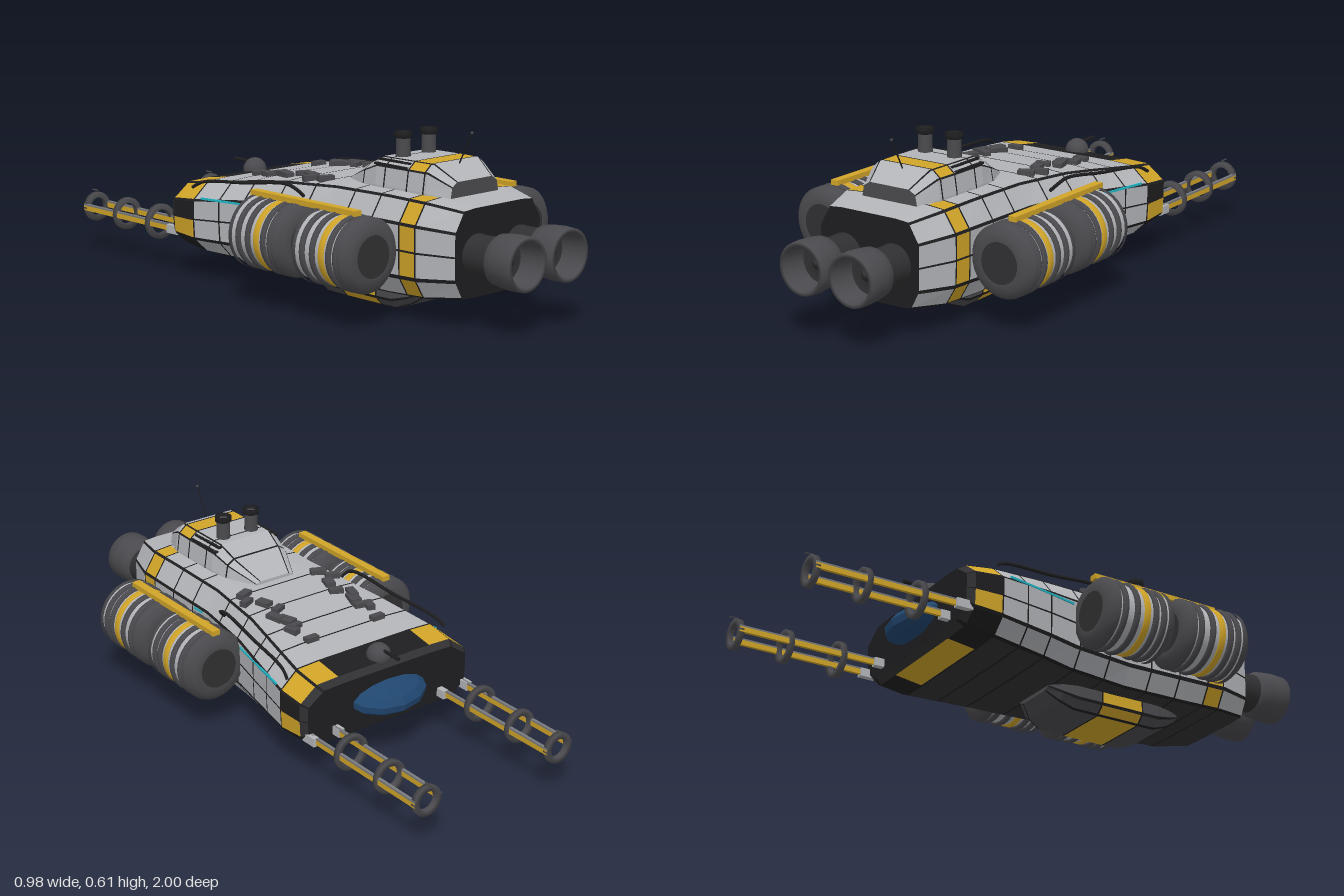
import * as THREE from 'three';

const mat = (name, color, extra = {}) => Object.assign(new THREE.MeshStandardMaterial({ color, ...extra }), { name });

export function createModel() {
  const light = mat('hullGrey', 0xb2b4b8), yellow = mat('hazardYellow', 0xd0a428), dark = mat('darkGrey', 0x4a4a4e),
    black = mat('black', 0x1e1e20), char = mat('charcoal', 0x303032), blue = mat('canopyBlue', 0x20466f),
    cyan = mat('cyanGlow', 0x20b4c4), mid = mat('midGrey', 0x77797d);
  const root = new THREE.Group();
  root.name = 'industrialShip';

  const add = (name, geo, m, x = 0, y = 0, z = 0, parent = root) => {
    const mesh = new THREE.Mesh(geo, m);
    mesh.name = name;
    mesh.position.set(x, y, z);
    parent.add(mesh);
    return mesh;
  };
  const box = (name, w, h, d, m, x, y, z, parent) => add(name, new THREE.BoxGeometry(w, h, d), m, x, y, z, parent);
  // lathe profile [radius, z] turned to lie along z
  const latheZ = (pts, n = 28) => new THREE.LatheGeometry(pts.map(p => new THREE.Vector2(...p)), n).rotateX(Math.PI / 2);
  const tube = (name, pts, r, m) => add(name, new THREE.TubeGeometry(
    new THREE.CatmullRomCurve3(pts.map(p => new THREE.Vector3(...p))), 24, r, 6), m);

  // Skin between mirrored sections; pick(j, zMid) chooses the material of each panel
  function loft(name, half, stations, pick, capStart, capEnd) {
    const n = half.length, count = 2 * n - 2;
    const rings = stations.map(([z, w, t, b]) => Array.from({ length: count }, (_, k) => {
      const [fx, fy] = half[k < n ? k : count - k];
      return [(k < n ? 1 : -1) * fx * w, b + fy * (t - b), z];
    }));
    const buckets = new Map();
    const tri = (m, ...p) => {
      if (!buckets.has(m)) buckets.set(m, []);
      buckets.get(m).push(...p.flat());
    };
    for (let i = 0; i < rings.length - 1; i++) for (let k = 0; k < count; k++) {
      const k2 = (k + 1) % count, A = rings[i], B = rings[i + 1];
      const m = pick(k < n - 1 ? k : count - 1 - k, (stations[i][0] + stations[i + 1][0]) / 2, stations[i][4]);
      tri(m, A[k], B[k], B[k2]);
      tri(m, A[k], B[k2], A[k2]);
    }
    const cap = (ring, s, m, flip) => {
      const c = [0, (s[2] + s[3]) / 2, s[0]];
      ring.forEach((p, k) => {
        const q = ring[(k + 1) % count];
        flip ? tri(m, c, q, p) : tri(m, c, p, q);
      });
    };
    cap(rings[0], stations[0], capStart, false);
    cap(rings.at(-1), stations.at(-1), capEnd, true);
    const geo = new THREE.BufferGeometry(), all = [], mats = [];
    for (const [m, v] of buckets) {
      geo.addGroup(all.length / 3, v.length / 3, mats.length);
      for (const x of v) all.push(x);
      mats.push(m);
    }
    geo.setAttribute('position', new THREE.Float32BufferAttribute(all, 3));
    geo.computeVertexNormals();
    return add(name, geo, mats);
  }
  const sample = (table, z) => {
    let i = 0;
    while (i < table.length - 2 && z > table[i + 1][0]) i++;
    const a = table[i], b = table[i + 1], t = (z - a[0]) / (b[0] - a[0]);
    return [z, ...[1, 2, 3].map(k => a[k] + (b[k] - a[k]) * t)];
  };
  // adds a thin dark seam band at each listed z; the fifth value marks a seam
  const withSeams = (table, seams) => [...table.map(s => [...s, false]),
    ...seams.flatMap(z => [[...sample(table, z - 0.003), true], [...sample(table, z + 0.003), false]])]
    .sort((a, b) => a[0] - b[0]);

  // Main hull: z, half width, top, bottom
  const hull = [[-0.45, 0.335, 0.325, 0.13], [-0.425, 0.35, 0.34, 0.113], [-0.33, 0.352, 0.355, 0.1],
    [-0.1, 0.305, 0.385, 0.09], [0.01, 0.28, 0.397, 0.083], [0.25, 0.25, 0.41, 0.08],
    [0.5, 0.25, 0.415, 0.083], [0.66, 0.245, 0.412, 0.09], [0.785, 0.2, 0.395, 0.105]];
  const hullHalf = [[0, 1], [0.55, 1], [0.8, 0.985], [0.822, 0.96], [0.985, 0.77], [1, 0.74], [1, 0.5],
    [1, 0.48], [0.99, 0.24], [0.975, 0.2], [0.84, 0.03], [0.8, 0.01], [0.5, 0], [0, 0]];
  loft('hull', hullHalf, withSeams(hull, [-0.32, -0.21, -0.105, 0.03, 0.16, 0.34, 0.46, 0.583, 0.652]), (j, z, seam) => {
    if (seam || [2, 4, 6, 8, 10].includes(j)) return black;
    if (z < -0.425) return char;
    if (z < -0.325) return [1, 3, 7, 12].includes(j) ? yellow : black;
    if (j > 10) return char;
    if (z > 0.585 && z < 0.65) return j > 0 ? yellow : light;
    return light;
  }, black, black);

  // Upper deck house
  const house = [[0.19, 0.085, 0.418, 0.39], [0.29, 0.13, 0.47, 0.39], [0.37, 0.145, 0.508, 0.39],
    [0.52, 0.146, 0.51, 0.39], [0.6, 0.143, 0.51, 0.39], [0.672, 0.115, 0.465, 0.39], [0.68, 0.112, 0.46, 0.39]];
  loft('deckHouse', [[0, 1], [0.7, 1], [0.74, 0.98], [0.92, 0.8], [0.94, 0.75], [1, 0.25], [1, 0], [0, 0]],
    withSeams(house, [0.3, 0.41, 0.515, 0.587]), (j, z, seam) => {
      if (seam || j === 1 || j === 3) return black;
      return z > 0.517 && z < 0.585 && j < 3 ? yellow : light;
    }, light, dark);

  // Belly pod with a painted middle
  const belly = [[0.02, 0.09, 0.1, 0.07], [0.06, 0.125, 0.1, 0.03], [0.11, 0.14, 0.1, 0.006], [0.21, 0.142, 0.1, 0.005],
    [0.37, 0.142, 0.1, 0.005], [0.44, 0.14, 0.1, 0.006], [0.5, 0.125, 0.1, 0.03], [0.55, 0.1, 0.1, 0.065]];
  loft('bellyPod', [[0, 1], [1, 1], [1, 0.4], [0.97, 0.3], [0.8, 0.05], [0.74, 0], [0, 0]],
    withSeams(belly, [0.207, 0.373]), (j, z, seam) => {
      if (seam || j === 2 || j === 4) return black;
      return z > 0.21 && z < 0.37 ? yellow : dark;
    }, dark, dark);

  // Nose canopy
  const canopy = add('canopy', new THREE.SphereGeometry(1, 12, 7).toNonIndexed(), blue, 0, 0.232, -0.435);
  canopy.geometry.scale(0.157, 0.054, 0.107);
  canopy.geometry.computeVertexNormals();
  canopy.rotation.x = -0.2;

  // Nose turret
  add('turretDome', new THREE.SphereGeometry(0.042, 16, 12), dark, 0, 0.35, -0.395);
  add('turretBarrel', new THREE.CylinderGeometry(0.005, 0.007, 0.11, 8).rotateX(Math.PI / 2), black, 0, 0.375, -0.445);

  // Chimneys and aerial
  for (const s of [-1, 1]) {
    add('chimney', new THREE.CylinderGeometry(0.023, 0.025, 0.08, 16), dark, s * 0.06, 0.54, 0.415);
    add('chimneyCap', new THREE.LatheGeometry([[0.023, 0], [0.03, 0.004], [0.03, 0.021], [0.02, 0.021], [0.02, 0.01], [0, 0.01]]
      .map(p => new THREE.Vector2(...p)), 16), black, s * 0.06, 0.569, 0.415);
    // slatted vents on the deck house shoulders
    for (let i = 0; i < 9; i++)
      for (const [x, y] of [[0.113, 0.5], [0.13, 0.487]])
        box('ventSlat', 0.015, 0.007, 0.014, black, s * x, y, 0.315 + 0.06 + i * 0.017 - 0.01);
  }
  tube('aerial', [[0, 0.5, 0.61], [0, 0.555, 0.638], [0, 0.608, 0.665]], 0.0025, black);
  add('aerialTip', new THREE.SphereGeometry(0.005, 8, 6), dark, 0, 0.608, 0.665);

  for (const s of [-1, 1]) {
    // Main engines
    const engine = new THREE.Group();
    engine.name = 'engine';
    engine.position.set(s * 0.1, 0.245, 0);
    root.add(engine);
    add('engineCollar', latheZ([[0.068, 0.77], [0.066, 0.82], [0.07, 0.885]]), char, 0, 0, 0, engine);
    add('engineBell', latheZ([[0.068, 0.88], [0.083, 0.89], [0.087, 0.92], [0.09, 0.96], [0.088, 1], [0.075, 1], [0.068, 0.91]]),
      dark, 0, 0, 0, engine);
    add('engineThroat', latheZ([[0.069, 0.91], [0.022, 0.9], [0.02, 0.925], [0, 0.935]]), char, 0, 0, 0, engine);

    // Ribbed cargo tanks
    for (const zc of [0.145, 0.455]) {
      const tank = new THREE.Group();
      tank.name = 'tank';
      tank.position.set(s * 0.367, 0.245, zc);
      root.add(tank);
      add('tankShell', latheZ([[0.114, -0.11], [0.114, 0.11]], 32), light, 0, 0, 0, tank);
      add('tankRearCap', latheZ([[0.124, 0.095], [0.124, 0.112], [0.1, 0.136], [0.07, 0.136]], 32), dark, 0, 0, 0, tank);
      add('tankFrontCap', latheZ([[0.07, -0.136], [0.1, -0.136], [0.124, -0.112], [0.124, -0.095]], 32), dark, 0, 0, 0, tank);
      add('tankEndDisc', new THREE.CylinderGeometry(0.073, 0.073, 0.27, 28).rotateX(Math.PI / 2), char, 0, 0, 0, tank);
      for (const z of [-0.072, -0.025, 0.05, 0.082])
        add('tankRib', new THREE.TorusGeometry(0.113, 0.012, 8, 32), dark, 0, 0, z, tank);
      add('tankStripe', latheZ([[0.113, 0.003], [0.119, 0.005], [0.119, 0.026], [0.113, 0.028]], 32), yellow, 0, 0, 0, tank);
      box('tankStrut', 0.08, 0.07, 0.12, dark, -s * 0.14, 0, 0, tank);
    }
    box('tankRail', 0.03, 0.018, 0.5, yellow, s * 0.367, 0.374, 0.27);

    // Handrail along the deck edge
    tube('handrail', [[s * 0.335, 0.335, -0.34], [s * 0.325, 0.357, -0.3], [s * 0.3, 0.378, -0.1],
      [s * 0.281, 0.398, 0.09], [s * 0.275, 0.385, 0.13], [s * 0.25, 0.36, 0.14]], 0.006, black);

    // Cyan light strip, following the hull side
    const strip = box('lightStrip', 0.006, 0.007, 0.29, cyan, s * 0.315, 0.303, -0.145);
    strip.rotation.y = -s * 0.2;
    strip.position.x = s * 0.314;
    box('rearLight', 0.006, 0.007, 0.05, cyan, s * 0.25, 0.32, 0.3);

    // Deck machinery
    for (const [x, z, w, d, a] of [[0.14, -0.21, 0.05, 0.025, 0], [0.165, -0.135, 0.03, 0.05, 0.3], [0.14, -0.12, 0.05, 0.022, 0.2],
      [0.145, -0.075, 0.04, 0.06, 0.3], [0.165, -0.04, 0.03, 0.06, 0.3], [0.125, 0, 0.05, 0.025, 0.4],
      [0.14, 0.06, 0.035, 0.05, 0.3], [0.185, 0.1, 0.05, 0.025, 0.4], [0.16, 0.15, 0.055, 0.03, 0.4]]) {
      const g = box('deckMachinery', w, 0.022, d, dark, s * x, sample(hull, z)[2] + 0.005, z);
      g.rotation.y = s * a;
    }

    // Forward docking arm: two rails through three rings
    const arm = new THREE.Group();
    arm.name = 'dockingArm';
    arm.position.set(s * 0.275, 0.166, 0);
    root.add(arm);
    for (const e of [-1, 1]) {
      box('armRail', 0.011, 0.018, 0.55, yellow, e * 0.048, 0, -0.71, arm);
      box('armRailTrim', 0.011, 0.006, 0.55, mid, e * 0.048, 0.012, -0.71, arm);
      box('armRoot', 0.022, 0.03, 0.06, light, e * 0.052, 0, -0.455, arm);
    }
    [[-0.6, 0.064], [-0.795, 0.059], [-0.977, 0.054]].forEach(([z, r]) =>
      add('armRing', latheZ([[r - 0.02, 0.009], [r - 0.02, -0.009], [r, -0.009], [r, 0.009], [r - 0.02, 0.009]], 20),
        dark, 0, 0, z, arm));
    add('armTip', new THREE.CylinderGeometry(0.003, 0.003, 0.03, 6).rotateX(Math.PI / 2), dark, 0, 0.06, -0.985, arm);
  }
  return root;
}
